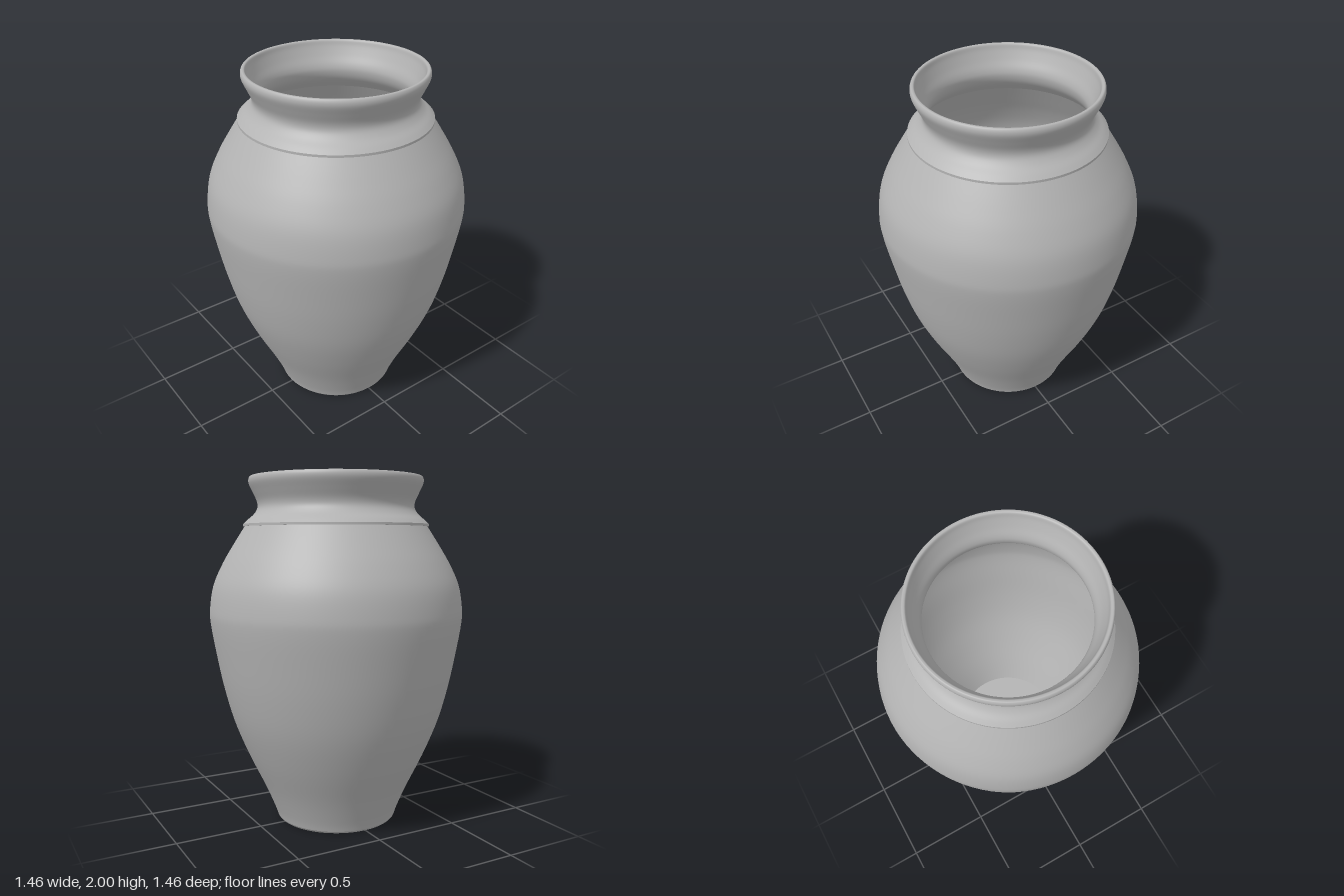
import * as THREE from 'three';

const SEGMENTS = 96;

// Smooth curve through [radius, height] pairs
function smooth(pairs, divisions) {
  const pts = pairs.map(([r, y]) => new THREE.Vector2(r, y));
  return new THREE.SplineCurve(pts).getPoints(divisions);
}

const straight = (pairs) => pairs.map(([r, y]) => new THREE.Vector2(r, y));

export function createModel() {
  const group = new THREE.Group();
  group.name = 'vase';
  const clay = new THREE.MeshStandardMaterial({ color: 0xb3b3b3 });
  clay.name = 'grey clay';

  const addLathe = (name, points) => {
    const mesh = new THREE.Mesh(new THREE.LatheGeometry(points, SEGMENTS), clay);
    mesh.name = name;
    group.add(mesh);
  };

  // Underside with a small bevelled foot edge
  addLathe('base', straight([[0, 0], [0.345, 0]]));
  addLathe('footEdge', straight([[0.345, 0], [0.355, 0.012]]));

  // Outer belly, from foot to shoulder
  addLathe('body', smooth([
    [0.355, 0.012], [0.375, 0.07], [0.43, 0.2], [0.525, 0.4], [0.605, 0.6], [0.66, 0.8],
    [0.7, 1.0], [0.728, 1.17], [0.73, 1.26], [0.708, 1.39], [0.655, 1.51], [0.59, 1.62], [0.525, 1.722],
  ], 56));

  // Raised collar step
  addLathe('collarUnderside', straight([[0.522, 1.722], [0.533, 1.722]]));
  addLathe('collarEdge', straight([[0.533, 1.722], [0.533, 1.735]]));

  // Collar slope, waisted neck, rounded lip and inside of the neck
  addLathe('neck', smooth([
    [0.533, 1.735], [0.51, 1.757], [0.475, 1.787], [0.452, 1.822], [0.453, 1.86], [0.475, 1.91],
    [0.496, 1.955], [0.5, 1.98], [0.494, 1.997], [0.485, 2.0], [0.475, 1.994],
    [0.467, 1.965], [0.447, 1.915], [0.424, 1.865], [0.42, 1.825], [0.44, 1.775], [0.495, 1.715],
  ], 72));

  // Inner wall and floor
  addLathe('innerWall', smooth([
    [0.495, 1.715], [0.56, 1.61], [0.625, 1.5], [0.677, 1.38], [0.7, 1.25], [0.697, 1.16],
    [0.668, 1.0], [0.63, 0.8], [0.575, 0.6], [0.493, 0.4], [0.4, 0.2], [0.33, 0.04],
  ], 48));
  addLathe('floor', straight([[0.33, 0.04], [0, 0.04]]));

  return group;
}
